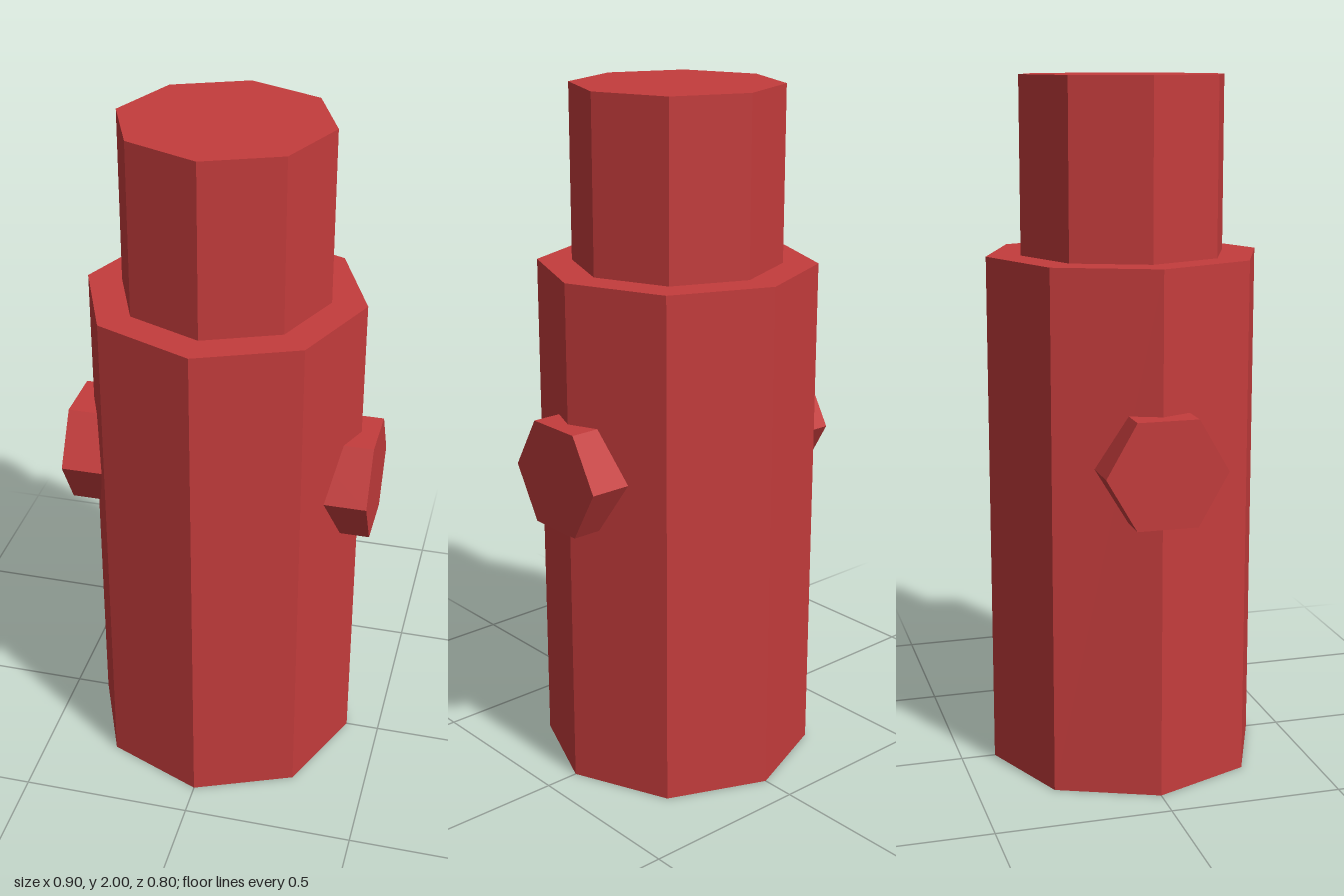
import * as THREE from 'three';

export function createModel() {
  const model = new THREE.Group();
  const red = new THREE.MeshStandardMaterial({ color: 0xc43c3c, flatShading: true });
  red.name = 'red';

  // Faceted prism standing on its local y axis
  function prism(name, radius, height, sides, x, y) {
    const mesh = new THREE.Mesh(new THREE.CylinderGeometry(radius, radius, height, sides), red);
    mesh.name = name;
    mesh.position.set(x, y, 0);
    model.add(mesh);
    return mesh;
  }

  // Octagonal body with a narrower cap on top
  prism('body', 0.4, 1.5, 8, 0, 0.75);
  prism('cap', 0.3, 0.5, 8, 0, 1.75);

  // Hexagonal side outlets, lying along x
  for (const [name, side] of [['leftOutlet', 1], ['rightOutlet', -1]]) {
    prism(name, 0.1735, 0.2, 6, side * 0.35, 0.95).rotation.z = -side * Math.PI / 2;
  }

  return model;
}
